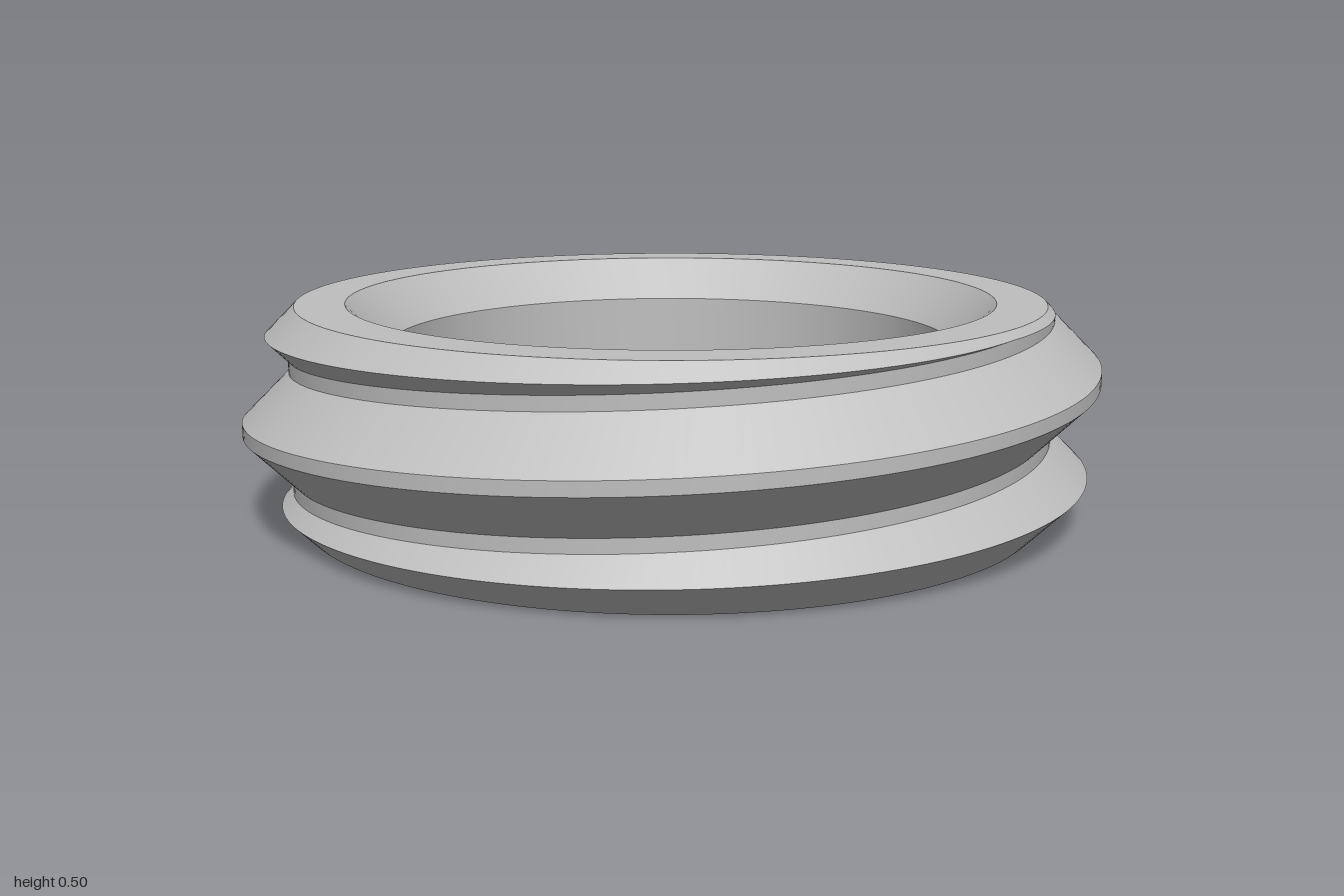
import * as THREE from 'three';
import { toCreasedNormals } from 'three/addons/utils/BufferGeometryUtils.js';

const HEIGHT = 0.5, BORE = 0.66, EDGE = 0.875;         // EDGE: radius of top and bottom rims
const PITCH = 0.28, CREST = 0.016, ROOT = 0.892;       // thread pitch, crest half width, root radius
const FLANK = 1 - ROOT;                                // 45 degree flanks
const NOTCH_H = 0.165, NOTCH_HALF = 0.14, NOTCH_R = 0.815;
const SEGMENTS = 180;

const clamp = THREE.MathUtils.clamp;

// Height of the middle crest at an angle (0 to 2 pi)
const crestHeight = (a) => HEIGHT / 2 + PITCH * (a - Math.PI) / (2 * Math.PI);

// Radius of the endless thread
function threadRadius(a, y) {
  const t = (y - crestHeight(a)) / PITCH;
  const d = Math.abs(t - Math.round(t)) * PITCH;
  return clamp(1 - (d - CREST), ROOT, 1);
}

// Find where f changes from negative (inside) to positive (outside)
function crossing(f, inside, outside) {
  for (let i = 0; i < 40; i++) {
    const m = (inside + outside) / 2;
    if (f(m) < 0) inside = m; else outside = m;
  }
  return inside;
}

// Cross-section of the outside from bottom to top at one angle
function section(a) {
  const bottom = crossing((y) => threadRadius(a, y) - EDGE - y, 0.2, 0);
  const top = crossing((y) => threadRadius(a, y) - EDGE - (HEIGHT - y), 0.3, HEIGHT);
  const heights = [0, bottom];
  for (let k = -2; k <= 2; k++) {
    const c = crestHeight(a) + k * PITCH;
    for (const d of [-CREST - FLANK, -CREST, CREST, CREST + FLANK]) heights.push(clamp(c + d, bottom, top));
  }
  heights.push(top, HEIGHT);
  return heights.map((y) => {
    const r = Math.min(threadRadius(a, y), EDGE + y, EDGE + HEIGHT - y);
    return new THREE.Vector3(r * Math.cos(a), y, -r * Math.sin(a));
  });
}

// Thread surface joined from the cross-sections, leaving out empty faces
function threadGeometry() {
  const positions = [];
  const tri = new THREE.Triangle();
  const addFace = (p, q, r) => {
    if (tri.set(p, q, r).getArea() < 1e-8) return;
    for (const v of [p, q, r]) positions.push(v.x, v.y, v.z);
  };
  let previous = section(0);
  for (let i = 1; i <= SEGMENTS; i++) {
    const next = section(i / SEGMENTS * Math.PI * 2);
    for (let j = 0; j < next.length - 1; j++) {
      addFace(previous[j], next[j], next[j + 1]);
      addFace(previous[j], next[j + 1], previous[j + 1]);
    }
    previous = next;
  }
  const geometry = new THREE.BufferGeometry();
  geometry.setAttribute('position', new THREE.Float32BufferAttribute(positions, 3));
  return toCreasedNormals(geometry, 0.4);
}

// Top rim, inner chamfer, bore and the ceiling of the notches
function collarGeometry() {
  const profile = [[EDGE, HEIGHT], [0.76, HEIGHT], [BORE, 0.4], [BORE, NOTCH_H], [0.86, NOTCH_H]];
  const lathe = new THREE.LatheGeometry(profile.map(([r, y]) => new THREE.Vector2(r, y)), SEGMENTS);
  return toCreasedNormals(lathe, 0.4);
}

// Lower band whose bore is cut by four square notches
function notchedGeometry() {
  const shape = new THREE.Shape().absarc(0, 0, EDGE, 0, Math.PI * 2, false);
  const half = Math.asin(NOTCH_HALF / BORE);
  const corner = Math.atan2(NOTCH_HALF, NOTCH_R), reach = Math.hypot(NOTCH_HALF, NOTCH_R);
  const points = [];
  const add = (r, a) => points.push(new THREE.Vector2(r * Math.cos(a), r * Math.sin(a)));
  for (let k = 0; k < 4; k++) {
    const a = k * Math.PI / 2;
    add(reach, a - corner);
    add(reach, a + corner);
    for (let i = 0; i <= 32; i++) add(BORE, a + half + (Math.PI / 2 - 2 * half) * i / 32);
  }
  shape.holes.push(new THREE.Path(points));
  const band = new THREE.ExtrudeGeometry(shape, { depth: NOTCH_H, bevelEnabled: false, curveSegments: SEGMENTS / 2 });
  band.rotateX(-Math.PI / 2);
  return toCreasedNormals(band, 0.4);
}

export function createModel() {
  const group = new THREE.Group();
  group.name = 'threadedRing';
  const metal = new THREE.MeshStandardMaterial({ color: 0xbfbfbf });
  metal.name = 'lightGrey';
  const parts = { outerThread: threadGeometry(), boreCollar: collarGeometry(), notchedBase: notchedGeometry() };
  for (const [name, geometry] of Object.entries(parts)) {
    const mesh = new THREE.Mesh(geometry, metal);
    mesh.name = name;
    group.add(mesh);
  }
  return group;
}
